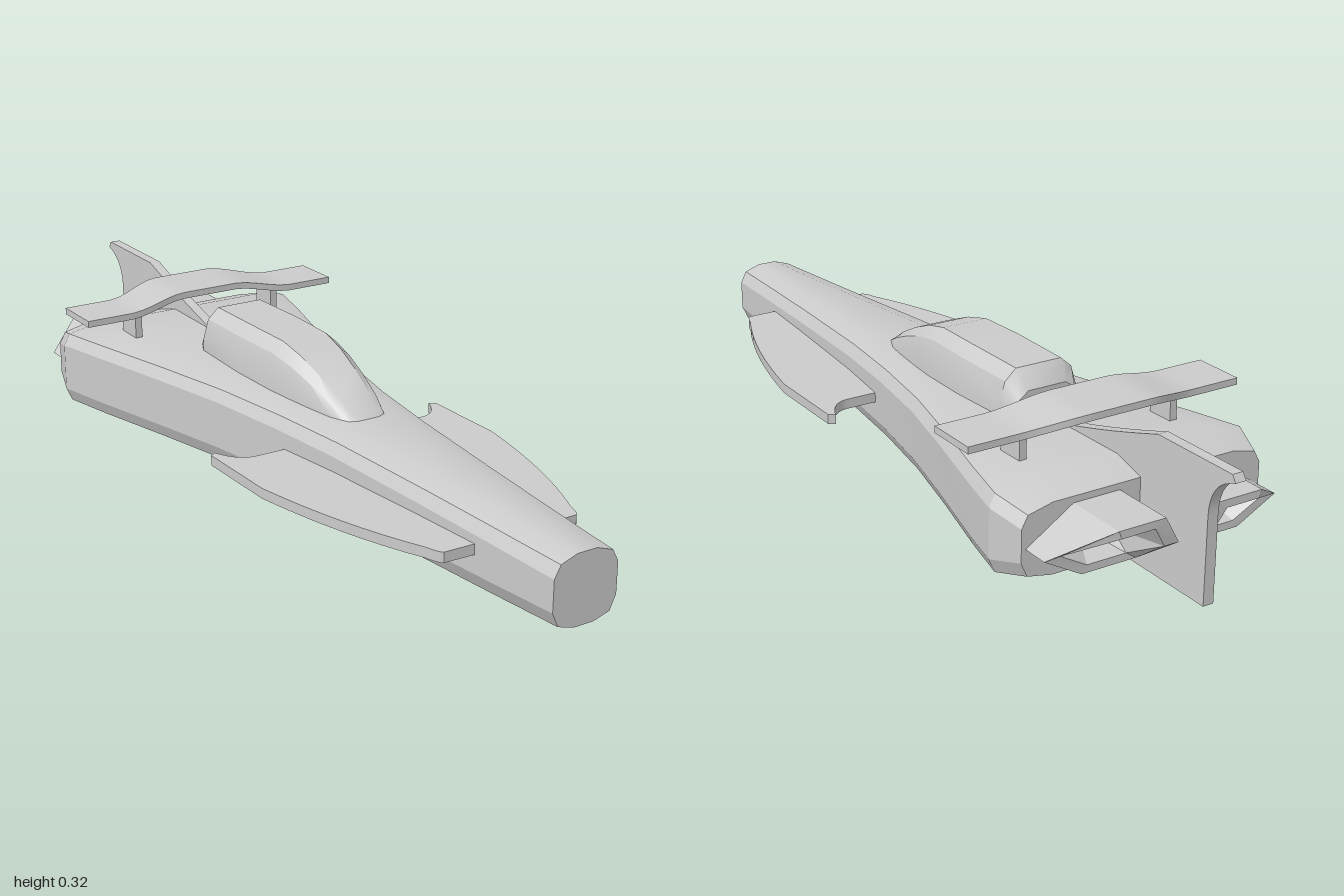
import * as THREE from 'three';
import { toCreasedNormals } from 'three/addons/utils/BufferGeometryUtils.js';

const material = new THREE.MeshStandardMaterial({ color: 0xcccccc });

function addPart(parent, name, geometry, crease = 0.4) {
  const mesh = new THREE.Mesh(toCreasedNormals(geometry, crease), material);
  mesh.name = name;
  parent.add(mesh);
  return mesh;
}

// Skin a list of equal-sized rings; rings run counter-clockwise seen from +z.
function loft(rings, capStart = true, capEnd = true) {
  const n = rings[0].length;
  const index = [];
  for (let i = 0; i < rings.length - 1; i++) {
    for (let j = 0; j < n; j++) {
      const a = i * n + j, b = i * n + (j + 1) % n;
      index.push(a, b, b + n, a, b + n, a + n);
    }
  }
  const last = (rings.length - 1) * n;
  for (let j = 1; j < n - 1; j++) {
    if (capStart) index.push(0, j + 1, j);
    if (capEnd) index.push(last, last + j, last + j + 1);
  }
  const geometry = new THREE.BufferGeometry();
  geometry.setAttribute('position', new THREE.Float32BufferAttribute(rings.flat(2), 3));
  geometry.setIndex(index);
  return geometry;
}

// Close a half section (listed from bottom to top at x >= 0) into a full ring.
function mirrorRing(half, z) {
  const right = half.map(([x, y]) => [x, y, z]);
  const left = half.map(([x, y]) => [-x, y, z]).reverse();
  return [...right, ...left];
}

// Long hull that widens smoothly toward the rear
function hullGeometry() {
  // z, half width, flat half width, top, bottom
  const stations = [
    [-0.71, 0.305, 0.23, 0.2, 0.038],
    [-0.63, 0.33, 0.245, 0.222, 0.02],
    [-0.5, 0.298, 0.215, 0.22, 0.017],
    [-0.3, 0.243, 0.165, 0.215, 0.013],
    [-0.1, 0.193, 0.125, 0.21, 0.01],
    [0.1, 0.157, 0.095, 0.204, 0.008],
    [0.3, 0.132, 0.072, 0.199, 0.007],
    [0.6, 0.107, 0.048, 0.189, 0.008],
    [0.8, 0.093, 0.034, 0.182, 0.011],
    [1, 0.08, 0.024, 0.175, 0.016],
  ];
  return loft(stations.map(([z, w, flat, top, bottom]) => mirrorRing([
    [flat, bottom], [w - 0.015, bottom + 0.012], [w, bottom + 0.045],
    [w, top - 0.042], [w - 0.015, top - 0.014], [flat, top],
  ], z)));
}

// Rounded canopy with a sloping front and a chamfered back
function canopyGeometry() {
  // z, half width, height of roof
  const stations = [
    [-0.355, 0.085, 0.275], [-0.32, 0.102, 0.318], [-0.15, 0.106, 0.319],
    [-0.02, 0.1, 0.317], [0.05, 0.092, 0.3], [0.12, 0.082, 0.272],
    [0.19, 0.07, 0.237], [0.24, 0.055, 0.207], [0.262, 0.035, 0.19],
  ];
  const base = 0.17;
  return loft(stations.map(([z, w, top]) => {
    const h = top - base;
    return mirrorRing([
      [w, base], [w, base + h * 0.5], [w * 0.86, base + h * 0.83], [w * 0.58, top],
    ], z);
  }));
}

// Six-sided hollow exhaust with a raked rim
function exhaustGeometry(side) {
  const rim = [
    [0.295, 0.112, -0.775], [0.18, 0.185, -0.862], [0.065, 0.185, -0.862],
    [0.025, 0.118, -0.855], [0.065, 0.057, -0.77], [0.2, 0.057, -0.77],
  ];
  const inset = (k, z) => rim.map((p) => [
    0.155 + (p[0] - 0.155) * k, 0.12 + (p[1] - 0.12) * k, z === undefined ? p[2] : z,
  ]);
  const rings = [inset(0.42, -0.735), inset(0.72), rim, inset(1, -0.69)];
  // Mirroring flips the winding, so the ring order is reversed as well
  const placed = side > 0 ? rings
    : rings.map((ring) => ring.map(([x, y, z]) => [-x, y, z]).reverse());
  return loft(placed, true, false);
}

// Flat side winglet with a scooped trailing edge
function wingletGeometry(side) {
  const s = new THREE.Shape();
  s.moveTo(side * 0.08, 0.77);
  s.lineTo(side * 0.17, 0.768);
  s.quadraticCurveTo(side * 0.18, 0.76, side * 0.187, 0.73);
  s.quadraticCurveTo(side * 0.27, 0.55, side * 0.31, 0.3);
  s.lineTo(side * 0.31, 0.08);
  s.lineTo(side * 0.295, 0.07);
  s.quadraticCurveTo(side * 0.27, 0.14, side * 0.22, 0.136);
  s.lineTo(side * 0.08, 0.136);
  s.closePath();
  return new THREE.ExtrudeGeometry(s, { depth: 0.024, bevelEnabled: false, curveSegments: 8 })
    .rotateX(Math.PI / 2).translate(0, 0.122, 0);
}

// Thin central fin and keel in one plate, drawn in (z, y)
function finGeometry() {
  const s = new THREE.Shape();
  s.moveTo(-0.3, 0.001);
  s.lineTo(-0.3, 0.05);
  s.lineTo(-0.4, 0.21);
  s.quadraticCurveTo(-0.57, 0.25, -0.76, 0.314);
  s.lineTo(-0.99, 0.316);
  s.lineTo(-1, 0.3);
  s.quadraticCurveTo(-0.925, 0.28, -0.925, 0.2);
  s.lineTo(-0.925, 0.001);
  s.closePath();
  return new THREE.ExtrudeGeometry(s, { depth: 0.026, bevelEnabled: false, curveSegments: 8 })
    .rotateY(-Math.PI / 2).translate(0.013, 0, 0);
}

// Rear wing: a plank whose middle rises and sweeps back
function rearWingGeometry() {
  const geometry = new THREE.BoxGeometry(0.692, 0.016, 1, 28, 1, 1);
  const p = geometry.attributes.position;
  for (let i = 0; i < p.count; i++) {
    const lift = 1 - THREE.MathUtils.smoothstep(Math.abs(p.getX(i)), 0.07, 0.23);
    p.setY(i, p.getY(i) + 0.288 + 0.024 * lift);
    p.setZ(i, p.getZ(i) > 0 ? -0.45 - 0.015 * lift : -0.577 - 0.04 * lift);
  }
  return geometry;
}

export function createModel() {
  const model = new THREE.Group();
  model.name = 'racer';

  addPart(model, 'hull', hullGeometry());
  addPart(model, 'canopy', canopyGeometry(), 0.5);
  addPart(model, 'tailFin', finGeometry());
  addPart(model, 'rearWing', rearWingGeometry());

  for (const side of [1, -1]) {
    const label = side > 0 ? 'left' : 'right';
    addPart(model, label + 'Winglet', wingletGeometry(side));
    addPart(model, label + 'Exhaust', exhaustGeometry(side), 0.1);
    const pylon = new THREE.BoxGeometry(0.018, 0.08, 0.07).translate(side * 0.195, 0.245, -0.515);
    addPart(model, label + 'WingPylon', pylon);
  }
  return model;
}
